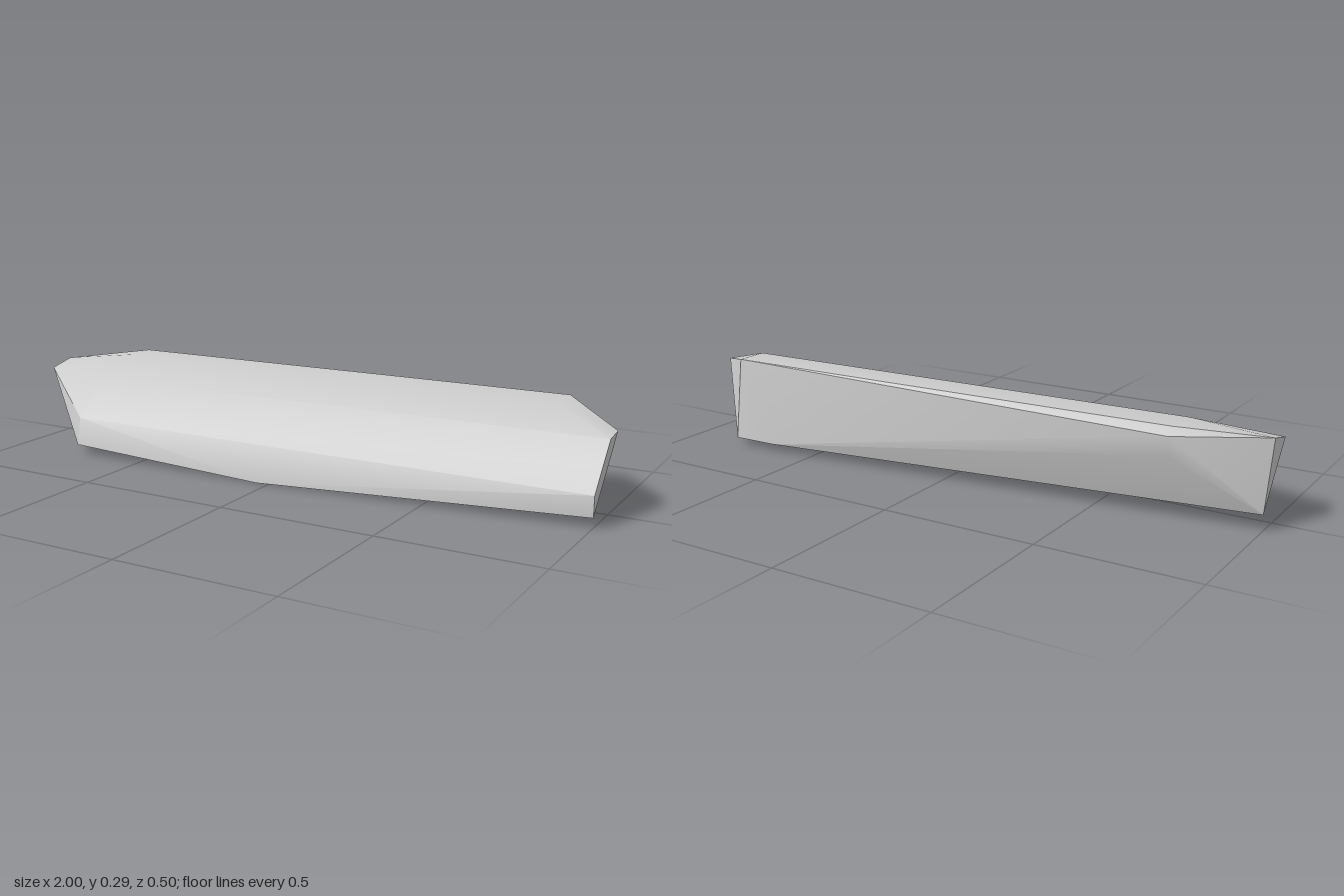
import * as THREE from 'three';
import { ConvexGeometry } from 'three/addons/geometries/ConvexGeometry.js';
import { toCreasedNormals } from 'three/addons/utils/BufferGeometryUtils.js';

export function createModel() {
  const group = new THREE.Group();
  group.name = 'facetedBar';
  const lightGrey = new THREE.MeshStandardMaterial({ color: 0xcccccc });
  lightGrey.name = 'lightGrey';

  // Cross-sections along the bar: x, then [y, z] corners
  const sections = [
    // slanted left tip
    [-1, [[0.24, 0.07], [0.26, -0.02], [0.05, -0.08]]],
    // full width behind the tip
    [-0.75, [[0.03, 0.248], [0.12, 0.23], [0.237, 0.11], [0.29, -0.05], [0.29, -0.16], [0.268, -0.19], [0.212, -0.19]]],
    // lowest point of the belly
    [-0.04, [[0, 0.24]]],
    // end of the narrow rear bevel
    [0.2, [[0.29, -0.193]]],
    // rear lower edge
    [0.65, [[0.023, -0.246]]],
    // shoulder before the right end
    [0.805, [[0.29, -0.1], [0.29, -0.21], [0.022, -0.247]]],
    // flat right end
    [1, [[0.03, 0.14], [0.095, 0.14], [0.165, 0.075], [0.228, 0.015], [0.237, -0.055]]],
  ];
  const points = sections.flatMap(([x, corners]) =>
    corners.map(([y, z]) => new THREE.Vector3(x, y, z)));

  // Convex skin, smooth over the rounded front and sharp at the cut ends
  const body = new THREE.Mesh(toCreasedNormals(new ConvexGeometry(points), 0.6), lightGrey);
  body.name = 'body';
  group.add(body);
  return group;
}
